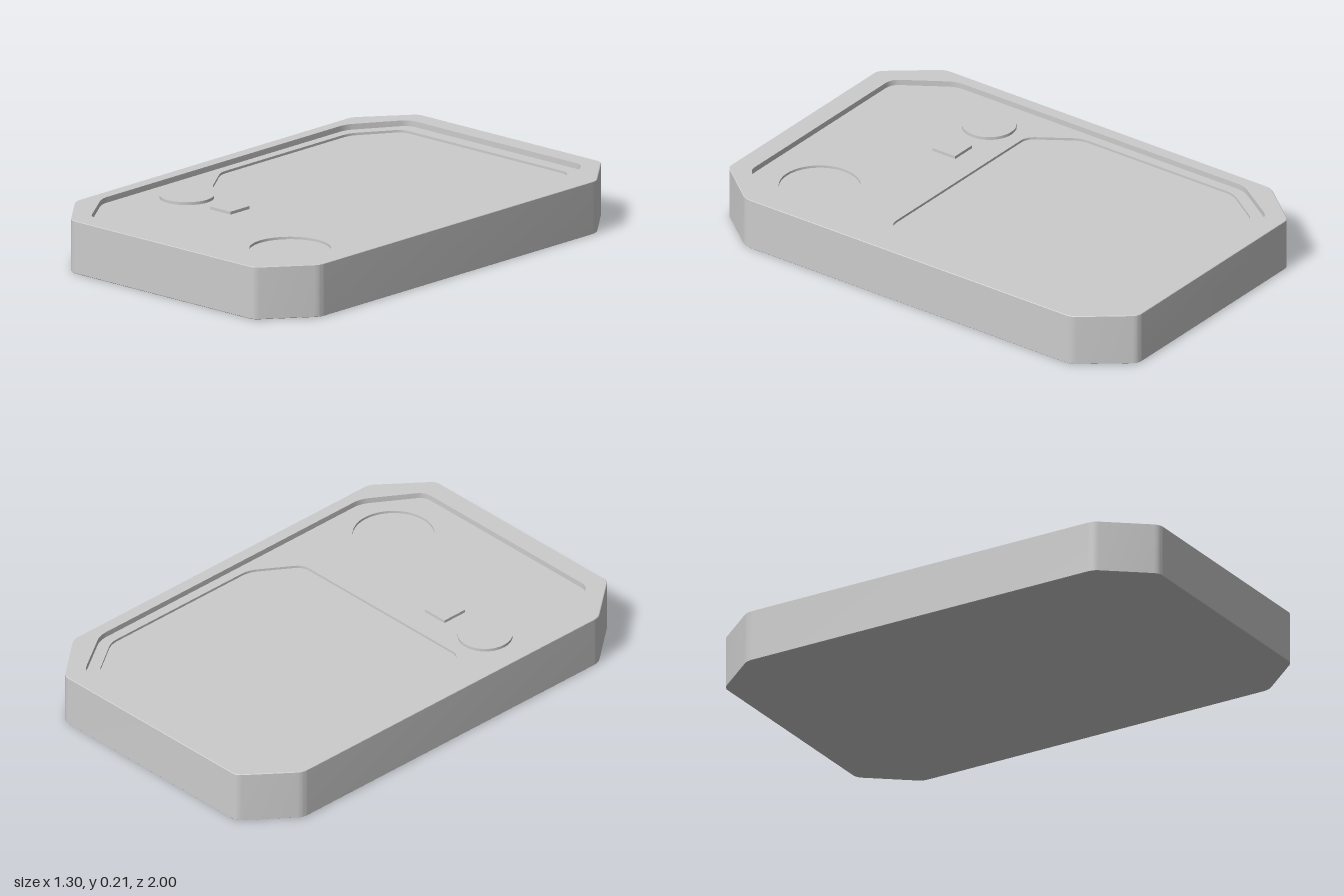
import * as THREE from 'three';
import { mergeGeometries, toCreasedNormals } from 'three/addons/utils/BufferGeometryUtils.js';

// Heights of the stepped surfaces
const TOP = 0.213, FLOOR = 0.19, SUNK = 0.18, RAISED = 0.202;

// Outlines run counter-clockwise seen from above; outline y is -z.
function chamferedOutline({ w, back, front, cx, cz, round }, inset = 0) {
  const x = w - inset, t = -back - inset, b = -front + inset;
  const corners = [
    [x, b + cz], [x, t - cz], [x - cx, t], [-x + cx, t],
    [-x, t - cz], [-x, b + cz], [-x + cx, b], [x - cx, b],
  ].map(([px, py]) => new THREE.Vector2(px, py));
  const points = [];
  corners.forEach((c, i) => {
    const toward = (o) => c.clone().add(o.clone().sub(c).setLength(round));
    const curve = new THREE.QuadraticBezierCurve(
      toward(corners[(i + 7) % 8]), c, toward(corners[(i + 1) % 8]));
    points.push(...curve.getPoints(5));
  });
  return points;
}

function circleOutline(x, z, r, n = 56) {
  return Array.from({ length: n }, (_, i) => {
    const a = (i / n) * Math.PI * 2;
    return new THREE.Vector2(x + r * Math.cos(a), -z + r * Math.sin(a));
  });
}

function squareOutline(x, z, h) {
  return [[1, -1], [1, 1], [-1, 1], [-1, -1]]
    .map(([sx, sy]) => new THREE.Vector2(x + sx * h, -z + sy * h));
}

// Flat face with optional holes
function cap(outline, y, holes = [], down = false) {
  const shape = new THREE.Shape(outline);
  shape.holes = holes.map((h) => new THREE.Path(h));
  const g = new THREE.ShapeGeometry(shape)
    .rotateX(down ? Math.PI / 2 : -Math.PI / 2)
    .translate(0, y, 0)
    .toNonIndexed();
  g.deleteAttribute('uv');
  return g;
}

// Wall joining two matching outlines; inward walls face the middle
function wall(low, y0, high, y1, inward = false) {
  const pos = [];
  low.forEach((p, i) => {
    const j = (i + 1) % low.length;
    const a = [p.x, y0, -p.y], b = [low[j].x, y0, -low[j].y];
    const c = [high[j].x, y1, -high[j].y], d = [high[i].x, y1, -high[i].y];
    pos.push(...(inward ? [a, c, b, a, d, c] : [a, b, c, a, c, d]).flat());
  });
  const g = new THREE.BufferGeometry();
  g.setAttribute('position', new THREE.Float32BufferAttribute(pos, 3));
  g.computeVertexNormals();
  return g;
}

export function createModel() {
  const model = new THREE.Group();
  model.name = 'handheldCase';
  const grey = new THREE.MeshStandardMaterial({ color: 0xcccccc });
  grey.name = 'plain grey';

  const add = (name, ...parts) => {
    const mesh = new THREE.Mesh(toCreasedNormals(mergeGeometries(parts), 0.5), grey);
    mesh.name = name;
    model.add(mesh);
  };

  const edge = 0.002;
  const body = { w: 0.65, back: -1, front: 1, cx: 0.165, cz: 0.205, round: 0.024 };
  const outer = chamferedOutline(body);
  const outerEdge = chamferedOutline(body, edge);
  const tray = chamferedOutline(
    { w: 0.598, back: -0.918, front: 0.915, cx: 0.14, cz: 0.215, round: 0.035 });
  const screen = chamferedOutline(
    { w: 0.558, back: -0.86, front: 0.24, cx: 0.12, cz: 0.18, round: 0.035 });
  const dish = circleOutline(0.357, 0.65, 0.16);
  const knob = circleOutline(-0.418, 0.405, 0.107);
  const key = squareOutline(-0.185, 0.41, 0.055);

  // Outer shell with softened top and bottom edges
  add('outerShell',
    cap(outerEdge, 0, [], true),
    wall(outerEdge, 0, outer, edge),
    wall(outer, edge, outer, TOP - edge),
    wall(outer, TOP - edge, outerEdge, TOP));

  // Raised rim around the tray
  add('rim', cap(outerEdge, TOP, [tray]), wall(tray, FLOOR, tray, TOP, true));

  // Tray floor with openings for the screen, dish and buttons
  add('trayFloor', cap(tray, FLOOR, [screen, dish, knob, key]));

  // Sunken screen and round dish
  add('screenRecess', cap(screen, SUNK), wall(screen, SUNK, screen, FLOOR, true));
  add('roundDish', cap(dish, SUNK), wall(dish, SUNK, dish, FLOOR, true));

  // Raised buttons
  add('roundButton', cap(knob, RAISED), wall(knob, FLOOR, knob, RAISED));
  add('squareButton', cap(key, RAISED), wall(key, FLOOR, key, RAISED));

  return model;
}
